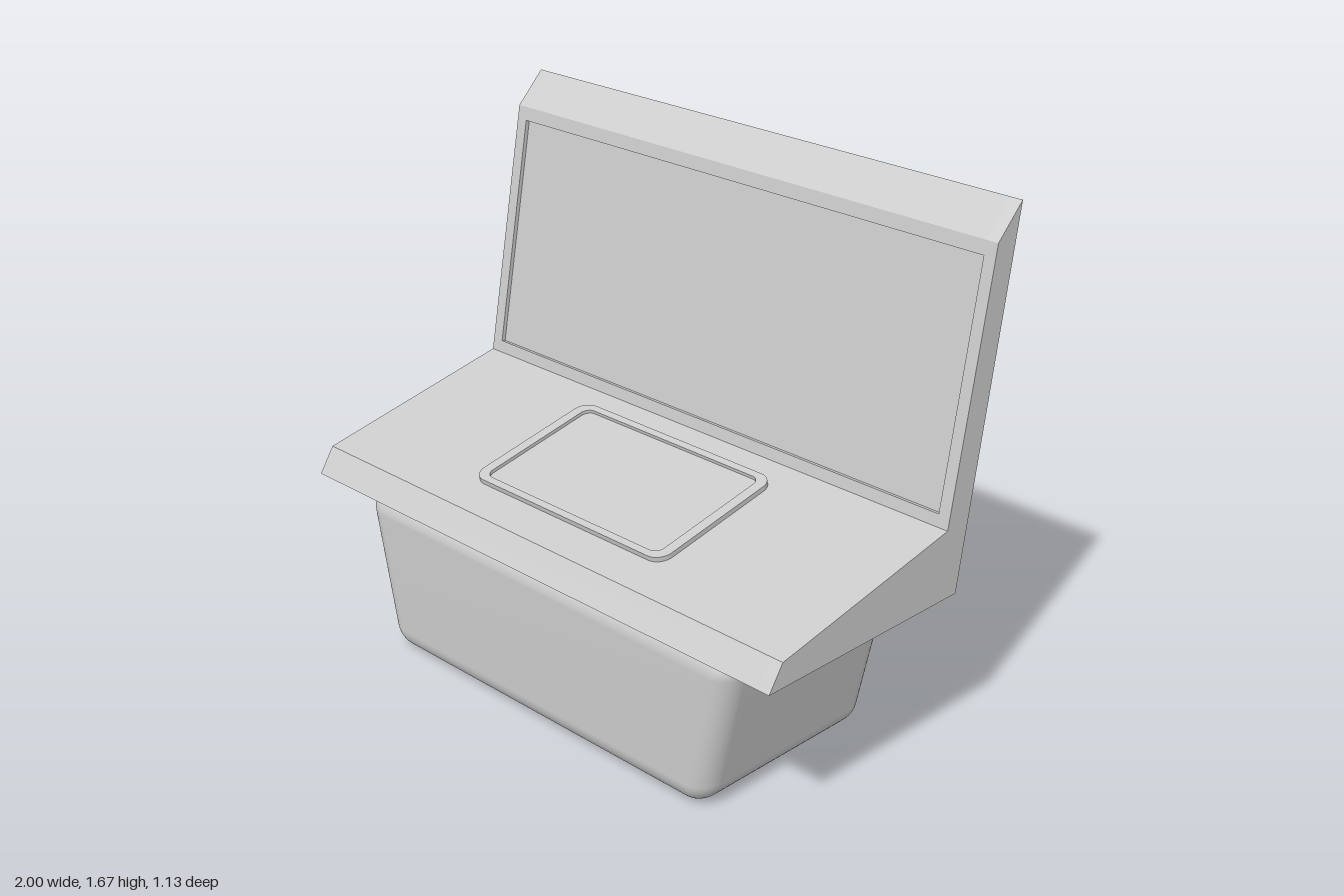
import * as THREE from 'three';
import { mergeVertices } from 'three/addons/utils/BufferGeometryUtils.js';
import { RoundedBoxGeometry } from 'three/addons/geometries/RoundedBoxGeometry.js';

const material = new THREE.MeshStandardMaterial({ color: 0xcccccc });

function addMesh(parent, name, geometry) {
  const mesh = new THREE.Mesh(geometry, material);
  mesh.name = name;
  parent.add(mesh);
  return mesh;
}

// Side profile (z, y), extruded between two x positions
function extrudeAcross(points, x0, x1) {
  const shape = new THREE.Shape(points.map(([z, y]) => new THREE.Vector2(z, y)));
  const geometry = new THREE.ExtrudeGeometry(shape, { depth: x1 - x0, bevelEnabled: false });
  return geometry.rotateY(-Math.PI / 2).translate(x1, 0, 0);
}

function roundedRect(w, h, r, Type = THREE.Shape) {
  const s = new Type();
  s.absarc(w - r, h - r, r, 0, Math.PI / 2);
  s.absarc(-w + r, h - r, r, Math.PI / 2, Math.PI);
  s.absarc(-w + r, -h + r, r, Math.PI, Math.PI * 1.5);
  s.absarc(w - r, -h + r, r, Math.PI * 1.5, Math.PI * 2);
  s.closePath();
  return s;
}

// Rounded tub whose ends slope inwards towards the bottom
function tubGeometry() {
  const height = 0.53;
  const g = new RoundedBoxGeometry(2, height, 0.716, 6, 0.075);
  g.translate(0, height / 2, 0);
  const p = g.attributes.position;
  for (let i = 0; i < p.count; i++) {
    const shift = 1 - (0.684 + 0.116 * p.getY(i) / height);
    p.setX(i, p.getX(i) - Math.sign(p.getX(i)) * shift);
  }
  g.deleteAttribute('normal');
  g.deleteAttribute('uv');
  const merged = mergeVertices(g, 1e-4);
  merged.computeVertexNormals();
  return merged.translate(-0.003, 0, 0.095);
}

export function createModel() {
  const root = new THREE.Group();
  root.name = 'console';
  const body = new THREE.Group();
  body.name = 'consoleBody';
  body.rotation.y = 0.0725;
  root.add(body);

  addMesh(body, 'baseTub', tubGeometry());

  // Housing: two full end slices and a middle slice with the screen recess cut in
  const half = 0.967, recessHalf = 0.927, depth = 0.014;
  const crease = [-0.251, 0.75], brow = [-0.397, 1.57];
  const onFace = (y, d) => {
    const t = (y - crease[1]) / (brow[1] - crease[1]);
    return [crease[0] + t * (brow[0] - crease[0]) - 0.984 * d, y - 0.175 * d];
  };
  const before = [[-0.307, 0.53], [0.492, 0.53], [0.44, 0.61], crease];
  const after = [brow, [-0.496, 1.67]];
  const recess = [onFace(0.788, 0), onFace(0.788, depth), onFace(1.527, depth), onFace(1.527, 0)];
  addMesh(body, 'housingMiddle', extrudeAcross([...before, ...recess, ...after], -recessHalf, recessHalf));
  addMesh(body, 'housingRightEnd', extrudeAcross([...before, ...after], -half, -recessHalf));
  addMesh(body, 'housingLeftEnd', extrudeAcross([...before, ...after], recessHalf, half));

  // Raised pad on the sloping desk: rim and sunken plate
  const pad = new THREE.Group();
  pad.name = 'deskPad';
  pad.position.set(-0.015, 0.684, 0.074);
  pad.rotation.x = -Math.PI / 2 + Math.atan2(0.14, 0.691);
  body.add(pad);
  const rim = roundedRect(0.405, 0.246, 0.05);
  rim.holes.push(roundedRect(0.37, 0.221, 0.03, THREE.Path));
  addMesh(pad, 'padRim', new THREE.ExtrudeGeometry(rim, { depth: 0.016, bevelEnabled: false, curveSegments: 8 }));
  const plate = roundedRect(0.375, 0.226, 0.03);
  addMesh(pad, 'padPlate', new THREE.ExtrudeGeometry(plate, { depth: 0.005, bevelEnabled: false, curveSegments: 8 }));

  return root;
}
